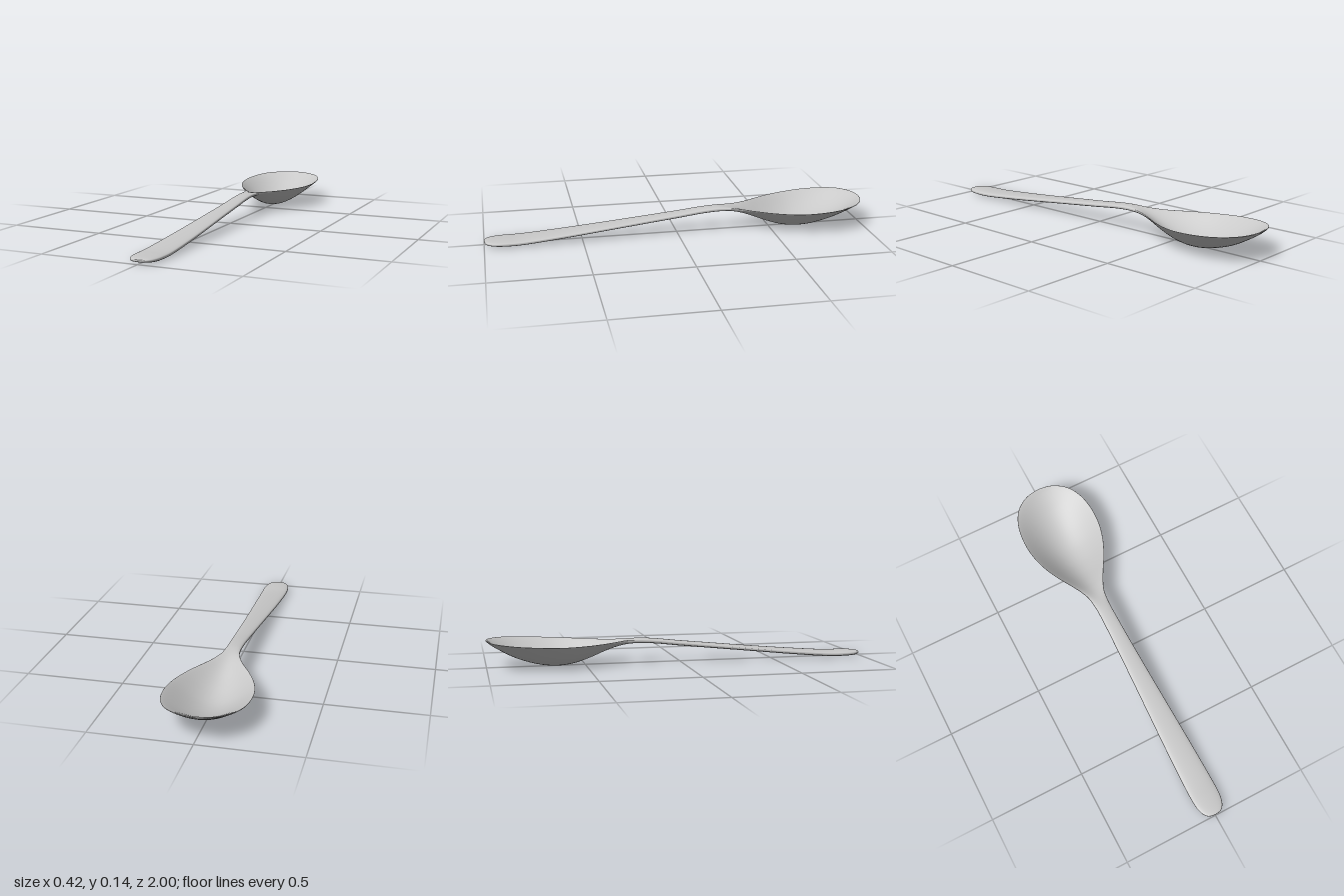
import * as THREE from 'three';

// Stations from handle end to bowl tip:
// z, half width, edge height, half thickness, bowl depth
const STATIONS = [
  [1.0, 0, 0.021, 0.003, 0],
  [0.994, 0.031, 0.0195, 0.007, 0],
  [0.978, 0.05, 0.0185, 0.0105, 0],
  [0.95, 0.063, 0.0175, 0.013, 0],
  [0.9, 0.071, 0.017, 0.0145, 0],
  [0.8, 0.071, 0.019, 0.0145, 0],
  [0.6, 0.065, 0.036, 0.0135, 0],
  [0.4, 0.057, 0.056, 0.0125, 0],
  [0.2, 0.049, 0.077, 0.0125, 0],
  [0.0, 0.042, 0.098, 0.0125, 0],
  [-0.12, 0.039, 0.112, 0.0125, 0],
  [-0.2, 0.038, 0.118, 0.0125, 0],
  [-0.25, 0.04, 0.119, 0.012, 0.002],
  [-0.3, 0.047, 0.119, 0.011, 0.009],
  [-0.35, 0.066, 0.118, 0.0095, 0.022],
  [-0.4, 0.092, 0.117, 0.008, 0.04],
  [-0.48, 0.138, 0.117, 0.007, 0.073],
  [-0.56, 0.175, 0.118, 0.0065, 0.099],
  [-0.64, 0.199, 0.12, 0.006, 0.111],
  [-0.72, 0.209, 0.124, 0.006, 0.108],
  [-0.8, 0.205, 0.128, 0.006, 0.092],
  [-0.87, 0.188, 0.132, 0.006, 0.069],
  [-0.93, 0.155, 0.136, 0.0055, 0.041],
  [-0.97, 0.109, 0.138, 0.005, 0.019],
  [-0.992, 0.059, 0.14, 0.004, 0.005],
  [-1.0, 0, 0.1405, 0.003, 0],
];

// Smooth lengthwise curve through three columns of the stations
const spline = (...cols) => new THREE.CatmullRomCurve3(
  STATIONS.map((s) => new THREE.Vector3(...cols.map((c) => s[c]))), false, 'catmullrom', 0.5);

// Skin of rounded cross-sections that dish downwards in the bowl
function spoonGeometry(rows = 150, sides = 56) {
  const outline = spline(0, 1, 2);
  const body = spline(0, 3, 4);
  const positions = [];
  const index = [];
  for (let i = 0; i <= rows; i++) {
    const { x: z, y: width, z: edge } = outline.getPoint(i / rows);
    const { y: half, z: depth } = body.getPoint(i / rows);
    for (let j = 0; j < sides; j++) {
      const a = (j / sides) * Math.PI * 2;
      const u = Math.cos(a);
      const s = Math.sin(a);
      const rise = u * u * (1.25 - 0.25 * u * u);
      const skin = Math.sign(s) * Math.pow(Math.abs(s), 0.6) * half;
      positions.push(Math.max(width, 0) * u, edge - depth * (1 - rise) + skin, z);
      if (i < rows) {
        const p = i * sides + j;
        const q = i * sides + ((j + 1) % sides);
        index.push(p, p + sides, q, q, p + sides, q + sides);
      }
    }
  }
  const geometry = new THREE.BufferGeometry();
  geometry.setAttribute('position', new THREE.Float32BufferAttribute(positions, 3));
  geometry.setIndex(index);
  geometry.computeBoundingBox();
  geometry.translate(0, -geometry.boundingBox.min.y, 0);
  geometry.computeVertexNormals();
  return geometry;
}

export function createModel() {
  const steel = new THREE.MeshStandardMaterial({ color: 0xc8c8c8 });
  steel.name = 'steel';
  const group = new THREE.Group();
  group.name = 'spoon';
  // Handle and bowl are one continuous piece
  const spoon = new THREE.Mesh(spoonGeometry(), steel);
  spoon.name = 'handleAndBowl';
  group.add(spoon);
  return group;
}
